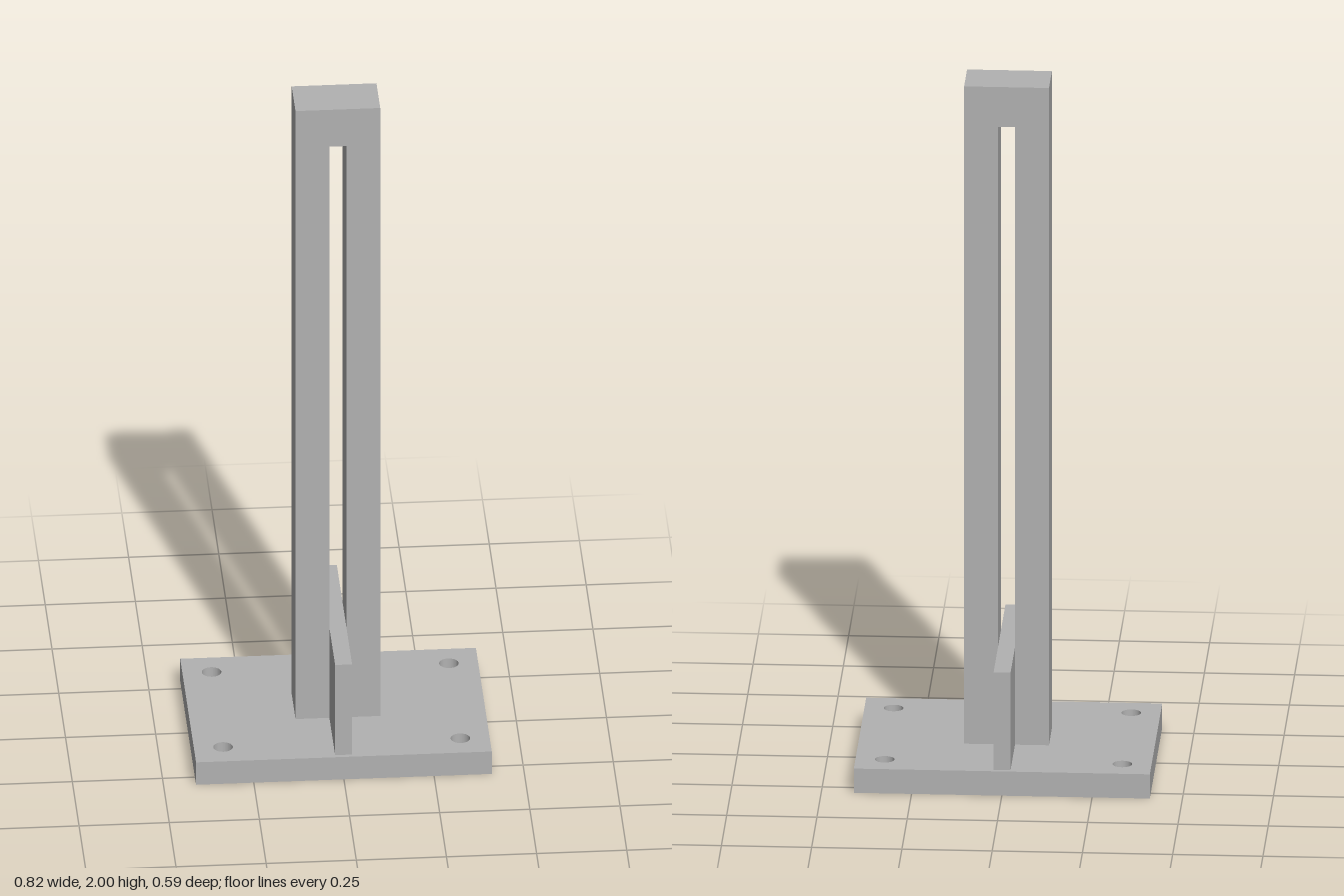
import * as THREE from 'three';

const BASE = { w: 0.82, d: 0.586, h: 0.071 };
const COLUMN = { w: 0.235, d: 0.14, top: 2 };
const FIN = { w: 0.047, reach: 0.281, top: 0.357 };
const SLOT_TOP = 1.883;

// Rectangle traced as a Shape or as a hole Path
function rect(Type, x0, y0, x1, y1) {
  const p = new Type();
  p.moveTo(x0, y0);
  p.lineTo(x1, y0);
  p.lineTo(x1, y1);
  p.lineTo(x0, y1);
  p.closePath();
  return p;
}

export function createModel() {
  const group = new THREE.Group();
  const steel = new THREE.MeshStandardMaterial({ color: 0xb2b2b2 });
  steel.name = 'grey steel';

  const add = (name, geometry) => {
    const mesh = new THREE.Mesh(geometry, steel);
    mesh.name = name;
    group.add(mesh);
    return mesh;
  };

  // Base plate with four bolt holes
  const plate = rect(THREE.Shape, -BASE.w / 2, -BASE.d / 2, BASE.w / 2, BASE.d / 2);
  for (const sx of [-1, 1]) {
    for (const sz of [-1, 1]) {
      const hole = new THREE.Path();
      hole.absarc(sx * 0.329, sz * 0.212, 0.027, 0, Math.PI * 2, true);
      plate.holes.push(hole);
    }
  }
  const plateGeometry = new THREE.ExtrudeGeometry(plate, {
    depth: BASE.h, bevelEnabled: false, curveSegments: 32,
  });
  plateGeometry.rotateX(-Math.PI / 2);
  add('basePlate', plateGeometry);

  // Upright column with a long slot, open from front to back
  const face = rect(THREE.Shape, -COLUMN.w / 2, BASE.h, COLUMN.w / 2, COLUMN.top);
  face.holes.push(rect(THREE.Path, -FIN.w / 2, FIN.top, FIN.w / 2, SLOT_TOP));
  const columnGeometry = new THREE.ExtrudeGeometry(face, {
    depth: COLUMN.d, bevelEnabled: false,
  });
  columnGeometry.translate(0, 0, -COLUMN.d / 2);
  add('slottedColumn', columnGeometry);

  // Stiffening fins in front of and behind the column
  const finLength = FIN.reach - COLUMN.d / 2;
  const finHeight = FIN.top - BASE.h;
  for (const [name, side] of [['frontFin', 1], ['backFin', -1]]) {
    const fin = add(name, new THREE.BoxGeometry(FIN.w, finHeight, finLength));
    fin.position.set(0, BASE.h + finHeight / 2, side * (COLUMN.d / 2 + finLength / 2));
  }

  return group;
}
